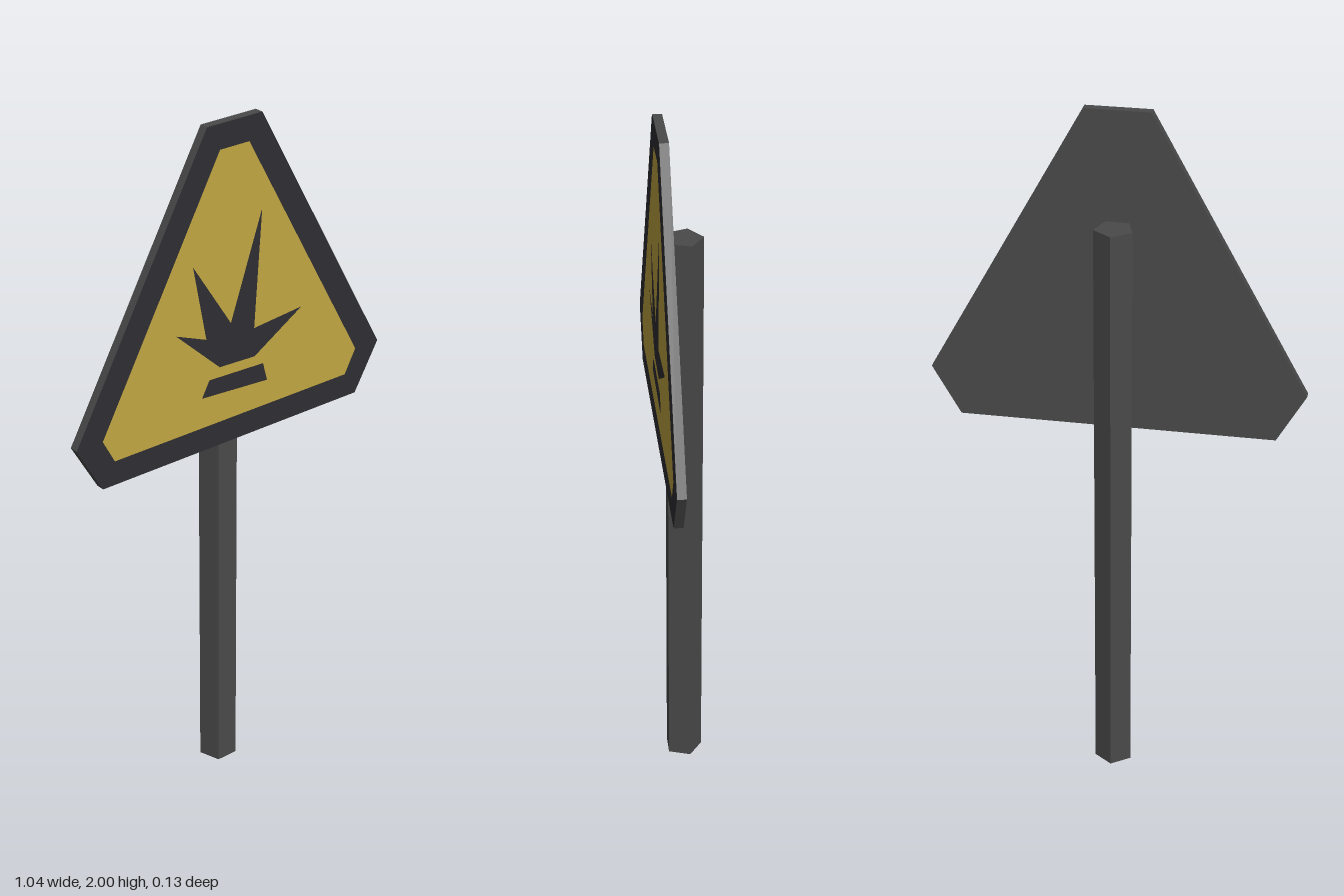
import * as THREE from 'three';

const BACK = 0.035, FRONT = 0.06;

const material = (color) => new THREE.MeshStandardMaterial({ color, flatShading: true });

function polygon(points) {
  return new THREE.Shape(points.map(([x, y]) => new THREE.Vector2(x, y)));
}

// Closed outline from its right half, listed from top to bottom
function mirrored(half) {
  return polygon([...half, ...half.map(([x, y]) => [-x, y]).reverse()]);
}

export function createModel() {
  const model = new THREE.Group();
  const steel = material(0x4a4a4a);
  const dark = material(0x2f2e34);
  const yellow = material(0xc4a843);

  function add(name, geometry, mat, x = 0, y = 0, z = 0) {
    const mesh = new THREE.Mesh(geometry, mat);
    mesh.name = name;
    mesh.position.set(x, y, z);
    model.add(mesh);
  }

  // Five-sided post with a flat side against the plate
  add('post', new THREE.CylinderGeometry(0.055, 0.055, 1.69, 5, 1, false, Math.PI),
    steel, 0, 0.845, -0.01);

  // Triangular plate with cut corners
  const outer = [[0.09, 2], [0.52, 1.22], [0.44, 1.08]];
  const inner = [[0.048, 1.93], [0.437, 1.22], [0.4, 1.15]];
  add('signPlate', new THREE.ExtrudeGeometry(mirrored(outer),
    { depth: FRONT - BACK, bevelEnabled: false }), steel, 0, 0, BACK);

  // Painted border and panel on the front of the plate
  const border = mirrored(outer);
  border.holes.push(mirrored(inner));
  add('border', new THREE.ShapeGeometry(border), dark, 0, 0, FRONT + 0.001);
  add('panel', new THREE.ShapeGeometry(mirrored(inner)), yellow, 0, 0, FRONT + 0.001);

  // Warning symbol: a spiky burst above a slanted bar
  const burst = polygon([
    [-0.05, 1.315], [0.07, 1.31], [0.233, 1.41], [0.068, 1.395], [0.092, 1.735],
    [-0.012, 1.434], [-0.138, 1.63], [-0.095, 1.41], [-0.195, 1.45],
  ]);
  const bar = polygon([[-0.11, 1.24], [0.115, 1.225], [0.1, 1.28], [-0.085, 1.287]]);
  add('burstSymbol', new THREE.ShapeGeometry(burst), dark, 0, 0, FRONT + 0.002);
  add('symbolBar', new THREE.ShapeGeometry(bar), dark, 0, 0, FRONT + 0.002);

  return model;
}
